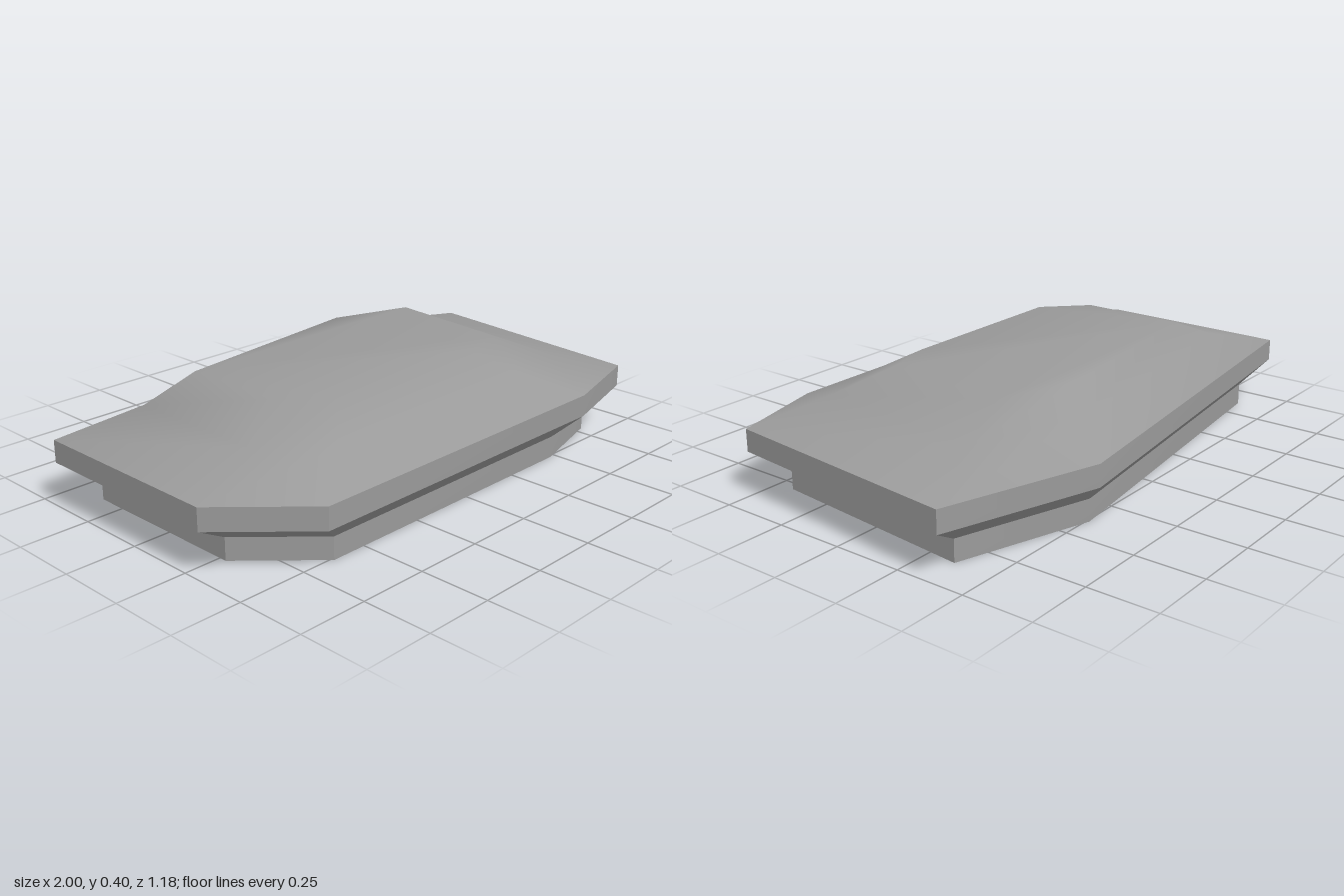
import * as THREE from 'three';
import { toCreasedNormals } from 'three/addons/utils/BufferGeometryUtils.js';

// Irregular seven-sided slab outline, as [x, z]
const OUTLINE = [
  [-1, -0.41], [0.45, -0.59], [1, -0.41], [0.91, 0.495],
  [0.55, 0.59], [-0.73, 0.59], [-1, 0.32],
];

// Stacks scaled copies of the outline, each ring { y, scale, dz }, listed from the bottom up
function stackRings(rings, capTop, capBottom) {
  const n = OUTLINE.length;
  const positions = [];
  const index = [];
  for (const { y, scale, dz = 0 } of rings) {
    for (const [x, z] of OUTLINE) positions.push(x * scale, y, z * scale + dz);
  }
  for (let r = 0; r < rings.length - 1; r++) {
    for (let i = 0; i < n; i++) {
      const a = r * n + i;
      const b = r * n + (i + 1) % n;
      index.push(b, a, a + n, b, a + n, b + n);
    }
  }
  const last = (rings.length - 1) * n;
  for (let i = 1; i < n - 1; i++) {
    if (capTop) index.push(last, last + i + 1, last + i);
    if (capBottom) index.push(0, i, i + 1);
  }
  const geometry = new THREE.BufferGeometry();
  geometry.setAttribute('position', new THREE.Float32BufferAttribute(positions, 3));
  geometry.setIndex(index);
  geometry.computeVertexNormals();
  return geometry;
}

export function createModel() {
  const group = new THREE.Group();
  group.name = 'stoneSlab';
  const stone = new THREE.MeshStandardMaterial({ color: 0x9a9a9a });
  stone.name = 'grey stone';

  // Foot, flared underside and upright rim, with crisp corners
  const body = new THREE.Mesh(toCreasedNormals(stackRings([
    { y: 0, scale: 0.865 },
    { y: 0.08, scale: 0.865 },
    { y: 0.16, scale: 1 },
    { y: 0.24, scale: 1 },
  ], false, true), Math.PI / 6), stone);
  body.name = 'slabBody';

  // Softly shaded crown, its flat top shifted towards the back
  const crown = new THREE.Mesh(stackRings([
    { y: 0.24, scale: 1 },
    { y: 0.315, scale: 0.72 },
    { y: 0.397, scale: 0.53, dz: -0.036 },
  ], true, false), stone);
  crown.name = 'slabCrown';

  group.add(body, crown);
  return group;
}
